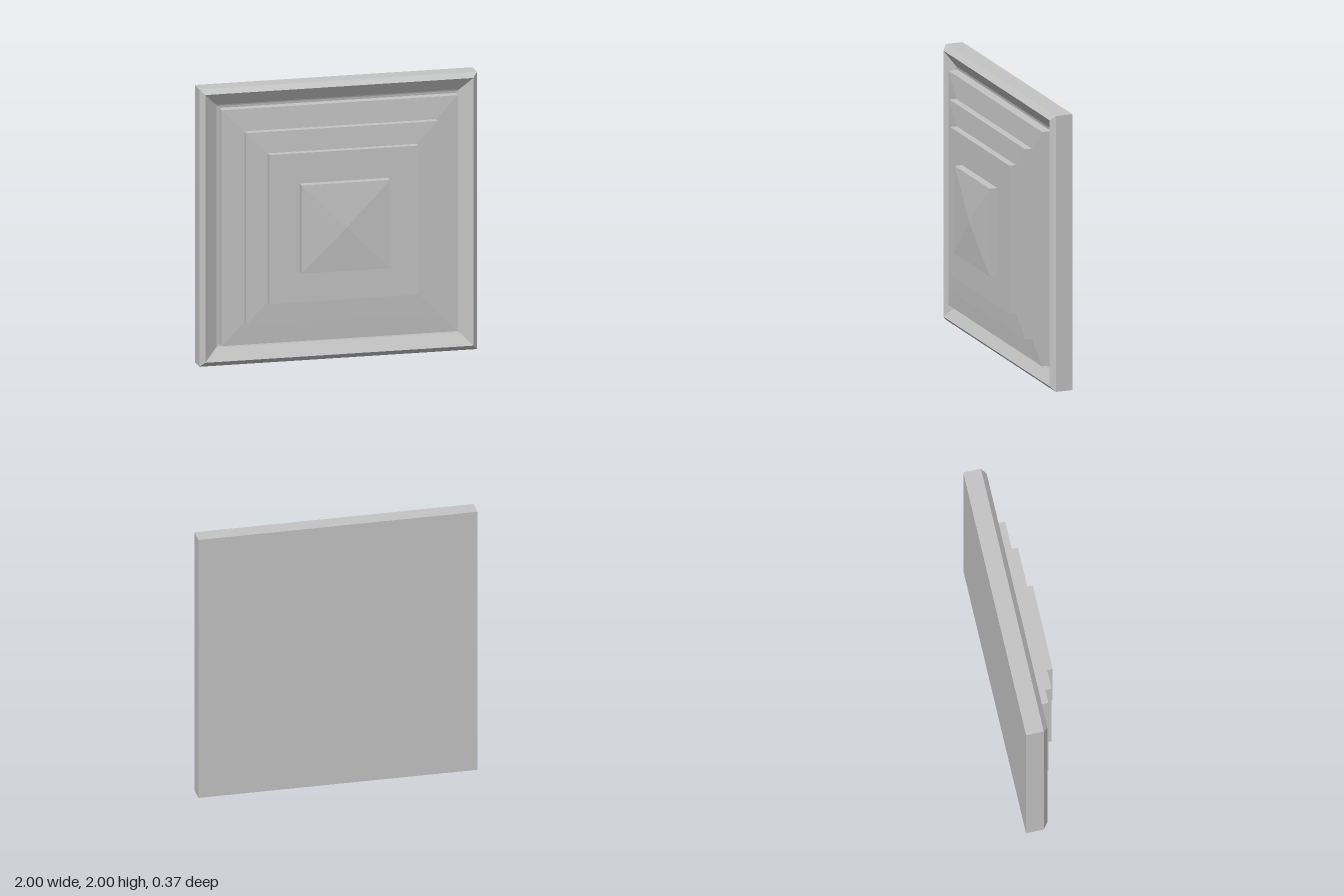
import * as THREE from 'three';

// Square-sided solid: each profile point is [half width, depth z], run from back to front.
function squareShell(name, profile, material) {
  const points = profile.map(([half, z]) => new THREE.Vector2(half * Math.SQRT2, z));
  const lathe = new THREE.LatheGeometry(points, 4, Math.PI / 4);
  lathe.rotateX(Math.PI / 2);
  const geometry = lathe.toNonIndexed();
  geometry.computeVertexNormals();
  const mesh = new THREE.Mesh(geometry, material);
  mesh.name = name;
  mesh.position.y = 1;
  return mesh;
}

export function createModel() {
  const group = new THREE.Group();
  group.name = 'steppedPanel';
  const stone = new THREE.MeshStandardMaterial({ color: 0xc4c4c4 });
  stone.name = 'paleGrey';

  const parts = {
    // back slab, chamfered rim and the sloping groove inside it
    frame: [[0, -0.184], [1, -0.184], [1, -0.057], [0.965, -0.0235],
      [0.876, -0.077], [0.866, -0.081], [0.85, -0.083]],
    // raised tiers, the two widest with gently sloping faces
    outerTier: [[0.85, -0.083], [0.85, -0.015], [0.69, -0.005]],
    middleTier: [[0.69, -0.005], [0.69, 0.046], [0.537, 0.053]],
    innerTier: [[0.537, 0.053], [0.537, 0.103], [0.318, 0.103]],
    // centre block with a shallow pyramid top
    centreBlock: [[0.318, 0.103], [0.318, 0.16], [0, 0.184]],
  };
  for (const [name, profile] of Object.entries(parts)) {
    group.add(squareShell(name, profile, stone));
  }
  return group;
}
